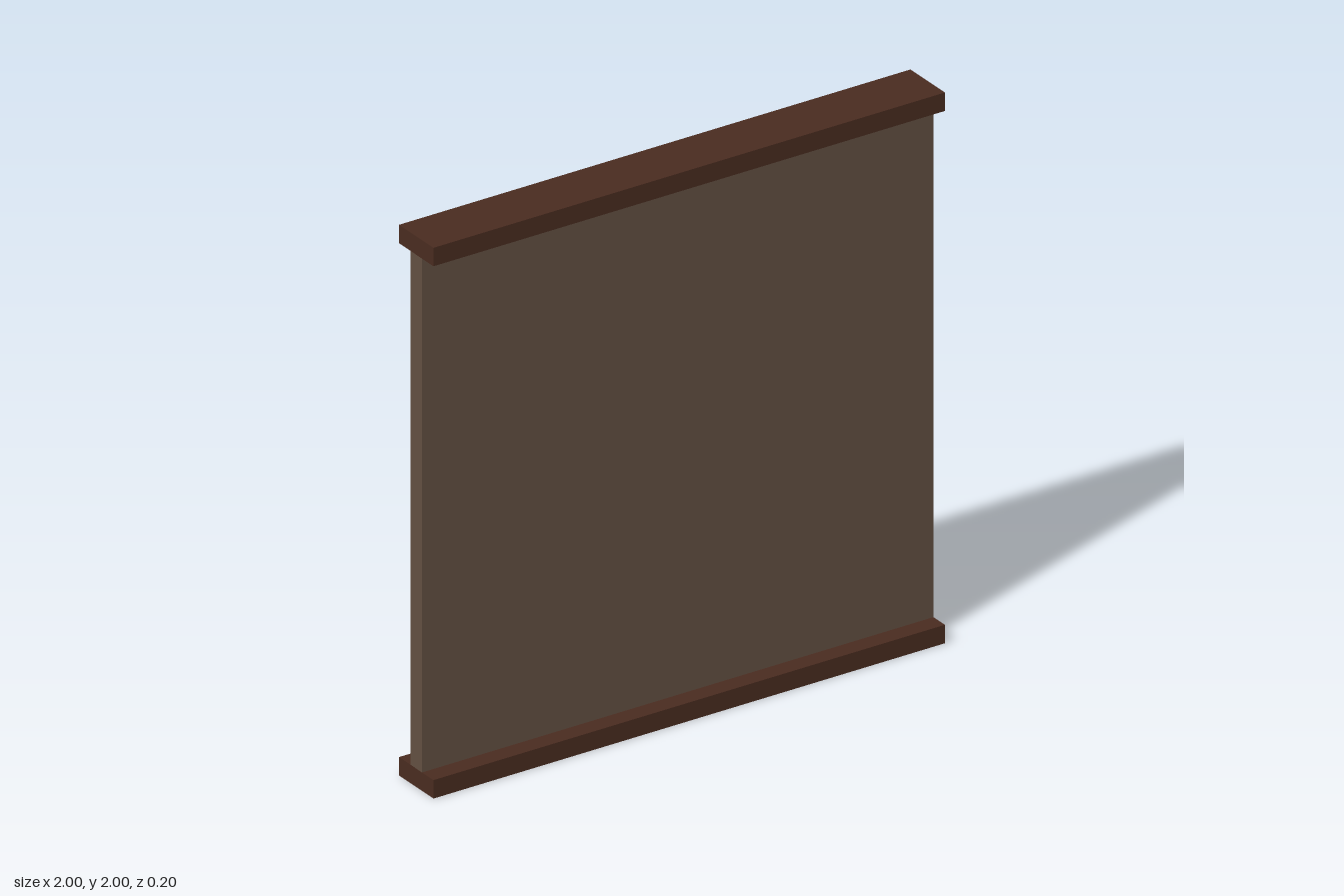
import * as THREE from 'three';

export function createModel() {
  const group = new THREE.Group();
  group.name = 'wallPanel';

  const railWood = new THREE.MeshStandardMaterial({ color: 0x4a2c20 });
  railWood.name = 'darkBrown';
  const panelWood = new THREE.MeshStandardMaterial({ color: 0x635042 });
  panelWood.name = 'greyBrown';

  const railHeight = 0.067;

  function addBox(name, width, height, depth, y, material) {
    const mesh = new THREE.Mesh(new THREE.BoxGeometry(width, height, depth), material);
    mesh.name = name;
    mesh.position.y = y;
    group.add(mesh);
  }

  // Thin wall between two wider rails, all flush at the ends
  addBox('panel', 2, 2 - 2 * railHeight, 0.067, 1, panelWood);
  addBox('bottomRail', 2, railHeight, 0.2, railHeight / 2, railWood);
  addBox('topRail', 2, railHeight, 0.2, 2 - railHeight / 2, railWood);

  return group;
}
